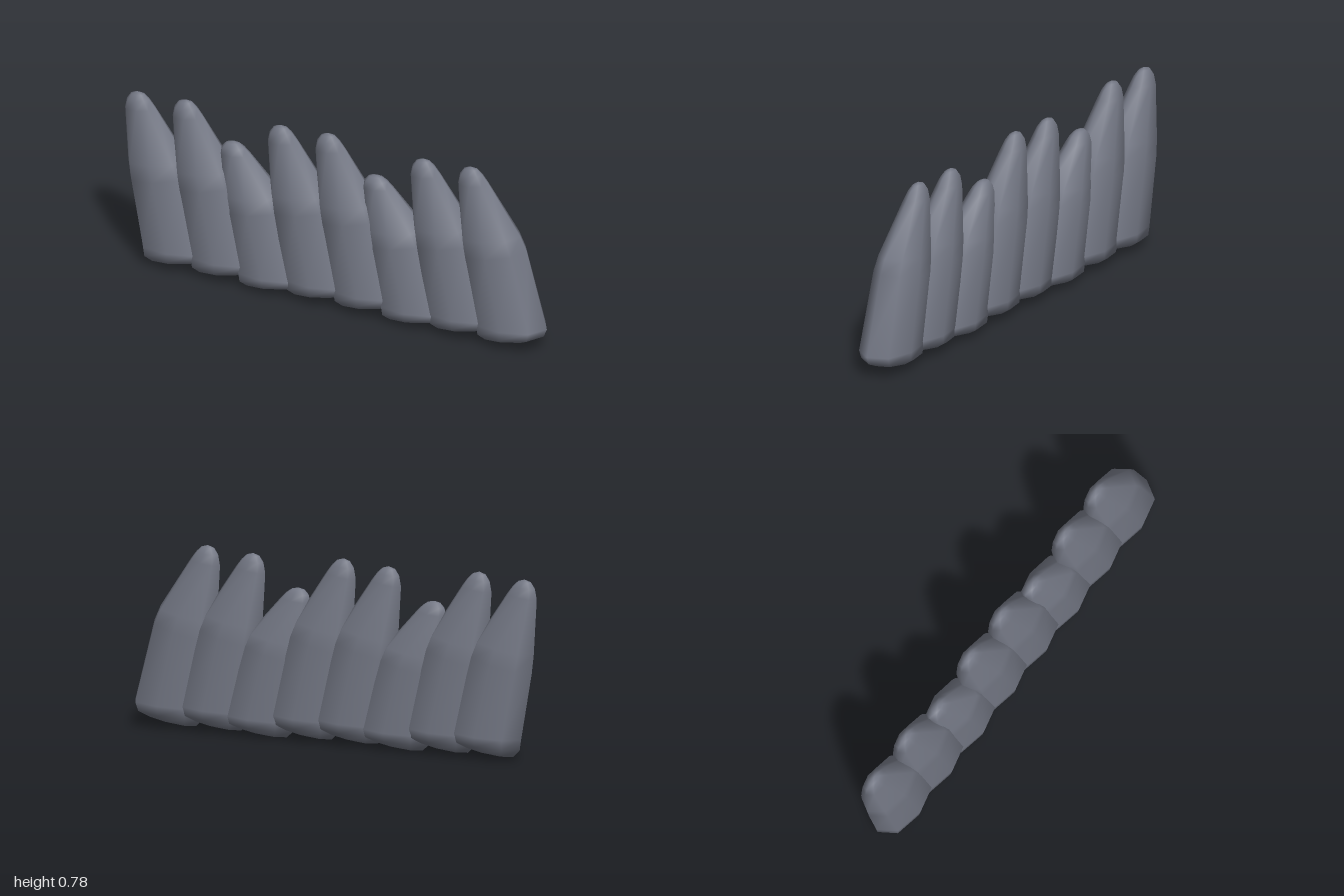
import * as THREE from 'three';

// Cross-sections of one tooth, bottom to top: [left x, left y, right x, right y, half depth]
const RINGS = [
  [0.695, 0.014, 0.93, 0.047, 0.06],
  [0.662, 0.045, 0.982, 0.072, 0.099],
  [0.655, 0.09, 0.997, 0.108, 0.104],
  [0.602, 0.38, 0.902, 0.45, 0.092],
  [0.592, 0.46, 0.872, 0.512, 0.084],
  [0.577, 0.70, 0.722, 0.722, 0.041],
  [0.586, 0.745, 0.693, 0.757, 0.031],
  [0.606, 0.774, 0.668, 0.778, 0.018],
];
// Outline of a section: position across the width and share of the depth
const SECTION = [[1, 0], [0.72, 0.74], [0, 1], [-0.72, 0.74], [-1, 0], [-0.72, -0.74], [0, -1], [0.72, -0.74]];

function toothGeometry(heightRule) {
  const n = SECTION.length;
  const pos = [];
  const index = [];
  const add = (x, y, z) => pos.push(x, heightRule(y), z);
  for (const [xl, yl, xr, yr, d] of RINGS) {
    for (const [t, s] of SECTION) {
      const k = (t + 1) / 2;
      add(xl + (xr - xl) * k, yl + (yr - yl) * k, s * d);
    }
  }
  const bottom = RINGS.length * n;
  add(0.81, 0.024, 0);
  add(0.637, 0.786, 0);
  const last = bottom - n;
  for (let j = 0; j < n; j++) {
    const k = (j + 1) % n;
    for (let r = 0; r < last; r += n) {
      index.push(r + j, r + n + j, r + k, r + k, r + n + j, r + n + k);
    }
    index.push(bottom, j, k);
    index.push(bottom + 1, last + k, last + j);
  }
  const g = new THREE.BufferGeometry();
  g.setAttribute('position', new THREE.Float32BufferAttribute(pos, 3));
  g.setIndex(index);
  g.computeVertexNormals();
  return g;
}

export function createModel() {
  const group = new THREE.Group();
  group.name = 'toothRow';
  const slate = new THREE.MeshStandardMaterial({ color: 0x757986 });
  slate.name = 'slateGrey';

  // Three tooth heights that repeat along the row
  const kinds = [
    ['middleTooth', toothGeometry((y) => y * 0.98 + 0.001)],
    ['tallTooth', toothGeometry((y) => y)],
    ['shortTooth', toothGeometry((y) => (y < 0.51 ? y * 0.88 - 0.008 : 0.441 + (y - 0.51) * 0.735))],
  ];
  for (let i = 0; i < 8; i++) {
    const [name, geometry] = kinds[i % 3];
    const tooth = new THREE.Mesh(geometry, slate);
    tooth.name = name + (i + 1);
    tooth.position.x = (i - 7) * 0.2253;
    group.add(tooth);
  }
  return group;
}
